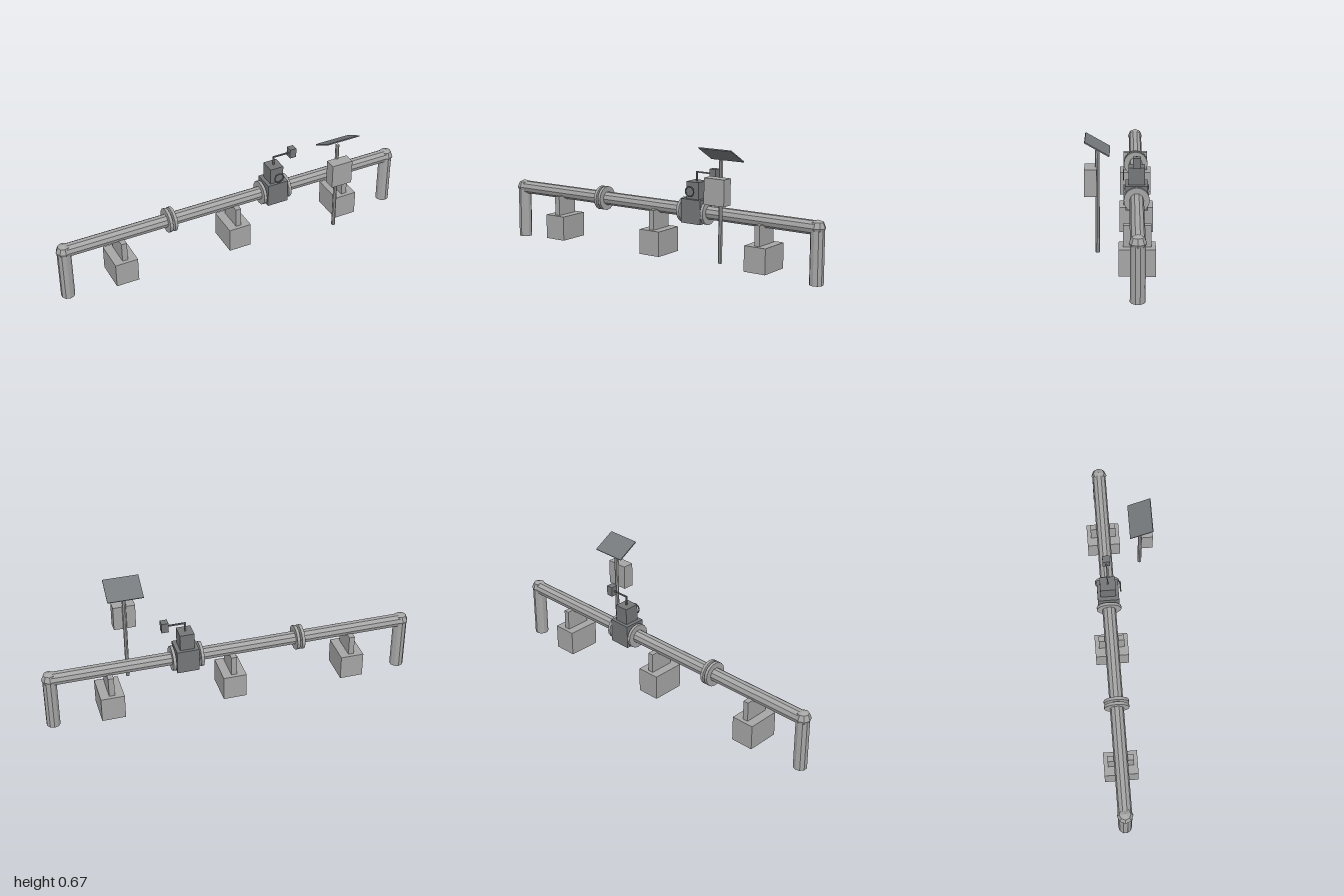
import * as THREE from 'three';

const PIPE_Y = 0.287, PIPE_Z = -0.0825, PIPE_R = 0.0365;
const VALVE_X = 0.243, MAST_X = 0.517, MAST_Z = 0.11;

export function createModel() {
  const root = new THREE.Group();
  root.name = 'pipelineStation';

  const material = (name, color) => {
    const m = new THREE.MeshStandardMaterial({ color, flatShading: true });
    m.name = name;
    return m;
  };
  const steel = material('light grey steel', 0xa6a6a6);
  const iron = material('dark grey iron', 0x747678);
  const panelGrey = material('panel grey', 0x767a7d);

  const add = (name, geometry, mat, x, y, z, parent = root) => {
    const mesh = new THREE.Mesh(geometry, mat);
    mesh.name = name;
    mesh.position.set(x, y, z);
    parent.add(mesh);
    return mesh;
  };
  const box = (name, mat, w, h, d, x, y, z, parent) =>
    add(name, new THREE.BoxGeometry(w, h, d), mat, x, y, z, parent);
  const alongX = (name, r, length, sides, x) =>
    add(name, new THREE.CylinderGeometry(r, r, length, sides).rotateZ(Math.PI / 2), steel, x, PIPE_Y, PIPE_Z);

  // Main pipe, with elbows and legs going into the ground
  alongX('mainPipe', PIPE_R, 1.916, 10, 0);
  for (const side of [-1, 1]) {
    const x = side * 0.958;
    add('elbow', new THREE.SphereGeometry(0.042, 8, 4), steel, x, PIPE_Y, PIPE_Z);
    add('pipeLeg', new THREE.CylinderGeometry(PIPE_R, PIPE_R, PIPE_Y, 10), steel, x, PIPE_Y / 2, PIPE_Z);
  }

  // Flanges: one bolted pair on the left, one each side of the valve
  for (const x of [-0.385, -0.358, 0.166, 0.315]) alongX('flange', 0.066, 0.016, 16, x);

  // Footings with saddle posts
  for (const x of [-0.656, 0, 0.654]) {
    const support = new THREE.Group();
    support.name = 'pipeSupport';
    support.position.set(x, 0, PIPE_Z);
    root.add(support);
    box('footing', steel, 0.125, 0.135, 0.178, 0, 0.0975, 0, support);
    box('saddlePost', steel, 0.03, 0.107, 0.136, 0, 0.2185, 0, support);
  }

  // Valve body, actuator and handwheel
  box('valveBody', iron, 0.118, 0.128, 0.114, VALVE_X, 0.291, PIPE_Z);
  box('actuator', iron, 0.076, 0.09, 0.082, VALVE_X, 0.4, PIPE_Z);
  add('handwheel', new THREE.TorusGeometry(0.0255, 0.0038, 6, 16), iron, VALVE_X, 0.398, -0.016);

  // Transmitter on a bent arm
  box('armUpright', iron, 0.007, 0.054, 0.007, VALVE_X, 0.469, PIPE_Z);
  box('armCrossbar', iron, 0.1, 0.007, 0.007, VALVE_X + 0.0465, 0.493, PIPE_Z);
  box('transmitter', iron, 0.037, 0.053, 0.038, 0.352, 0.4935, PIPE_Z);

  // Mast with control cabinet and tilted solar panel
  add('mast', new THREE.CylinderGeometry(0.0105, 0.0105, 0.52, 8), steel, MAST_X, 0.343, MAST_Z);
  box('controlCabinet', steel, 0.118, 0.135, 0.061, MAST_X, 0.4525, 0.1425);
  box('solarPanel', panelGrey, 0.19, 0.006, 0.136, MAST_X, 0.631, MAST_Z).rotation.x = -Math.PI / 6;

  return root;
}
